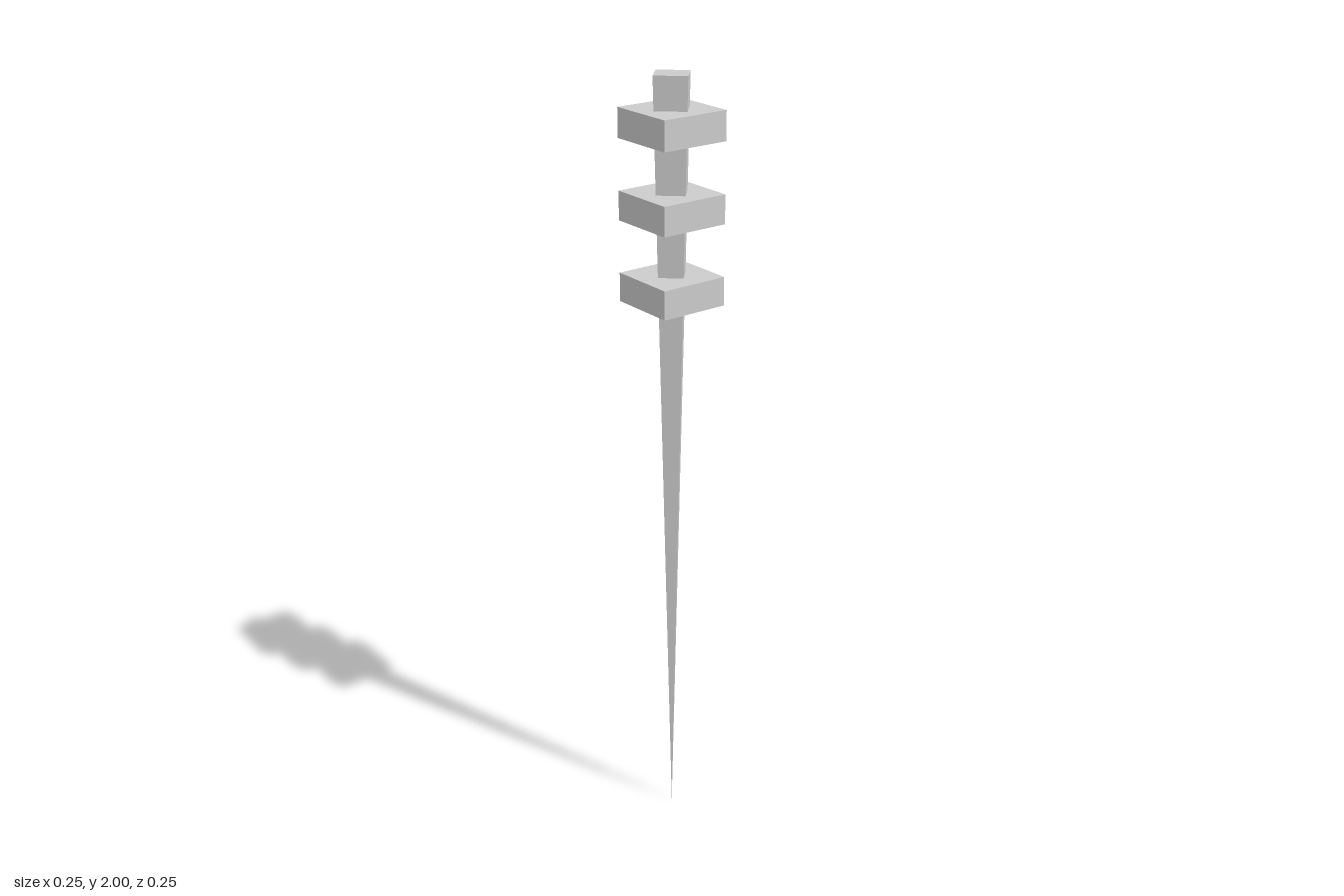
import * as THREE from 'three';

export function createModel() {
  const model = new THREE.Group();
  model.name = 'collaredSpike';
  const material = new THREE.MeshStandardMaterial({ color: 0xcccccc, flatShading: true });

  const add = (name, geometry, y, turn) => {
    const mesh = new THREE.Mesh(geometry, material);
    mesh.name = name;
    mesh.position.y = y;
    mesh.rotation.y = turn;
    model.add(mesh);
  };

  // Four-sided spike, point down, with a slightly oblong section
  const spike = new THREE.ConeGeometry(Math.SQRT1_2, 2, 4)
    .rotateY(Math.PI / 4)
    .rotateX(Math.PI)
    .scale(0.08, 1, 0.071);
  add('spike', spike, 1, 0.165);

  // Three square collars, turned against the spike
  const collar = new THREE.BoxGeometry(0.177, 0.071, 0.177);
  [1.492, 1.691, 1.885].forEach((y, i) => add(`collar${i + 1}`, collar, y, Math.PI / 4 + 0.12));

  return model;
}
